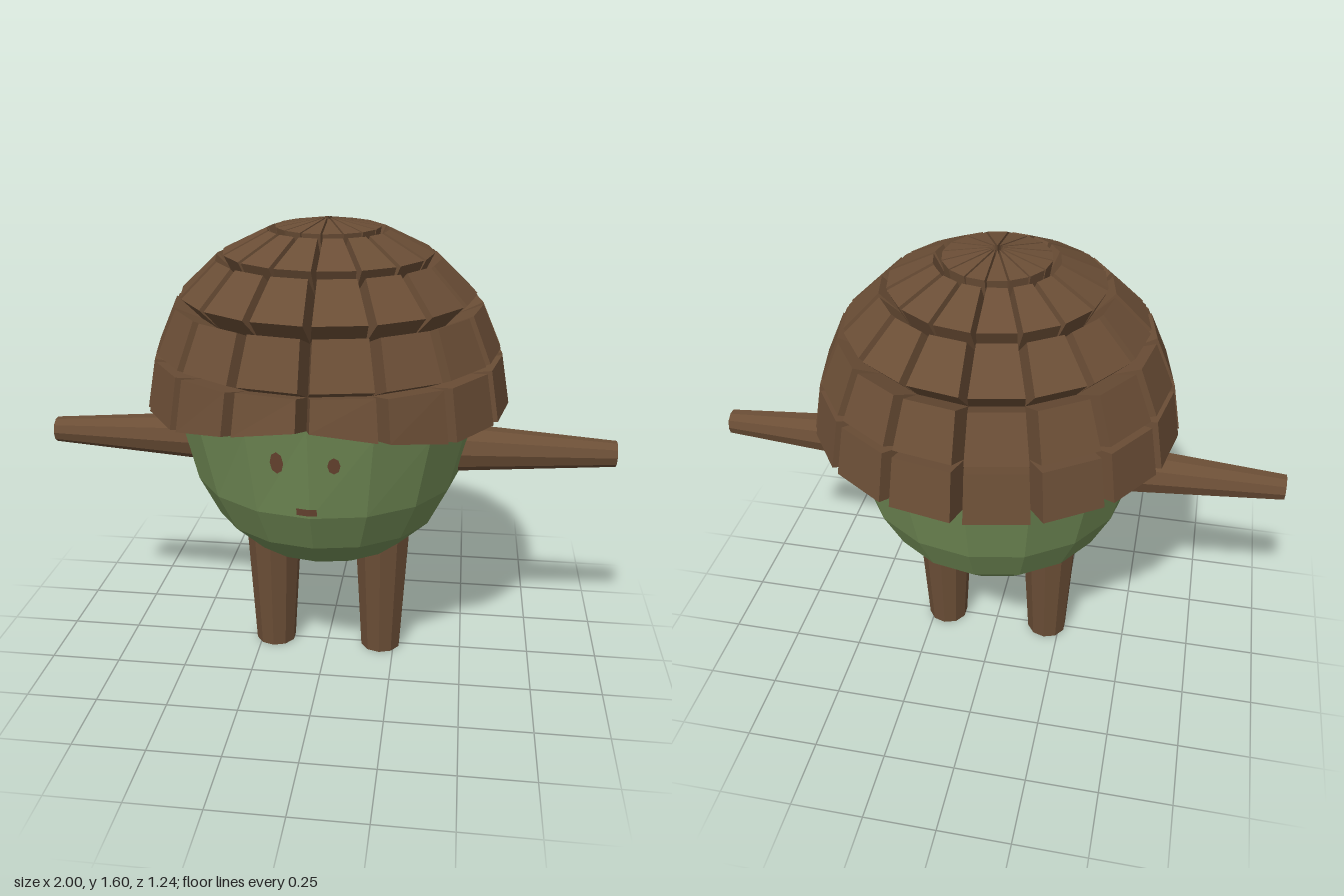
import * as THREE from 'three';

const SIDES = 16;
const STEP = (Math.PI * 2) / SIDES;
const THICK = 0.1;

// Rings as [radius, height]
const bodyRings = [[0, 0.385], [0.15, 0.41], [0.285, 0.475], [0.395, 0.58], [0.465, 0.72], [0.525, 0.97]];
const capRings = [[0.525, 0.97], [0.495, 1.137], [0.43, 1.285], [0.31, 1.4], [0.16, 1.473], [0, 1.5]];

// The cap's rim is raised over the face
function rimLift(i) {
  const fromFront = Math.min(i % SIDES, SIDES - (i % SIDES));
  return Math.max(0, 0.07 - 0.035 * fromFront);
}

function ringPoint([r, y], i, isRim) {
  const a = i * STEP;
  return new THREE.Vector3(r * Math.sin(a), y + (isRim ? rimLift(i) : 0), r * Math.cos(a));
}

// Flat-faced geometry from a list of quads
function quadGeometry(quads) {
  const pos = [];
  for (const [a, b, c, d] of quads) {
    for (const tri of [[a, b, c], [a, c, d]]) {
      const [p, q, r] = tri;
      if (p.distanceTo(q) < 1e-6 || q.distanceTo(r) < 1e-6 || r.distanceTo(p) < 1e-6) continue;
      for (const v of tri) pos.push(v.x, v.y, v.z);
    }
  }
  const g = new THREE.BufferGeometry();
  g.setAttribute('position', new THREE.Float32BufferAttribute(pos, 3));
  g.computeVertexNormals();
  return g;
}

// Corners of one facet between two rings, counter-clockwise from outside
function facet(rings, row, i) {
  const lowRim = rings === capRings && row === 0;
  const highRim = rings === bodyRings && row === rings.length - 2;
  return [
    ringPoint(rings[row], i, lowRim), ringPoint(rings[row], i + 1, lowRim),
    ringPoint(rings[row + 1], i + 1, highRim), ringPoint(rings[row + 1], i, highRim),
  ];
}

// Depth of the front of the body at x, y
function faceDepth(x, y) {
  let r = 0.5;
  let t = 0;
  for (let k = 0; k < 4; k++) {
    t = Math.abs(x) / (Math.sin(STEP) * r);
    r = 0.465 + (0.06 * (y - 0.72)) / (0.32 - 0.035 * t);
  }
  return r * (1 - t * (1 - Math.cos(STEP)));
}

export function createModel() {
  const model = new THREE.Group();
  const mat = (name, color) => {
    const m = new THREE.MeshStandardMaterial({ color, flatShading: true });
    m.name = name;
    return m;
  };
  const green = mat('green', 0x728c56);
  const bark = mat('bark brown', 0x6b4e36);
  const faceBrown = mat('face brown', 0x6b4632);

  const add = (name, geometry, material, parent = model) => {
    const mesh = new THREE.Mesh(geometry, material);
    mesh.name = name;
    parent.add(mesh);
    return mesh;
  };

  // Round body
  const bodyQuads = [];
  for (let row = 0; row < bodyRings.length - 1; row++) {
    for (let i = 0; i < SIDES; i++) bodyQuads.push(facet(bodyRings, row, i));
  }
  add('body', quadGeometry(bodyQuads), green);

  // Cap of separate scales, each pushed straight out from its facet
  const cap = new THREE.Group();
  cap.name = 'cap';
  model.add(cap);
  const undersides = [];
  for (let row = 0; row < capRings.length - 1; row++) {
    const quads = [];
    for (let i = 0; i < SIDES; i++) {
      const inner = facet(capRings, row, i);
      const [a, b, c, d] = inner;
      const normal = c.clone().sub(a).cross(d.clone().sub(b)).normalize();
      const [A, B, C, D] = inner.map((p) => p.clone().addScaledVector(normal, THICK));
      quads.push([A, B, C, D], [b, c, C, B], [d, a, A, D]);
      if (row < capRings.length - 2) quads.push([c, d, D, C]);
      // The four rear rim scales are green underneath
      const rear = row === 0 && i >= 6 && i <= 9;
      (rear ? undersides : quads).push([a, b, B, A]);
    }
    add('scaleRow' + (row + 1), quadGeometry(quads), bark, cap);
  }
  add('rearScaleUndersides', quadGeometry(undersides), green, cap);

  // Tapered arms and legs
  for (const [side, s] of [['left', 1], ['right', -1]]) {
    const arm = add(side + 'Arm', new THREE.CylinderGeometry(0.045, 0.088, 0.6, 10), bark);
    arm.rotation.z = -s * Math.PI / 2;
    arm.position.set(s * 0.7, 0.81, 0);
    const leg = add(side + 'Leg', new THREE.CylinderGeometry(0.106, 0.074, 0.55, 10), bark);
    leg.position.set(s * 0.2, 0.275, 0);
  }

  // Eyes and mouth laid onto the body
  const patch = (name, geometry, x, y) => {
    const p = geometry.attributes.position;
    for (let i = 0; i < p.count; i++) {
      const px = p.getX(i) + x;
      const py = p.getY(i) + y;
      p.setXYZ(i, px, py, faceDepth(px, py) + 0.007);
    }
    geometry.computeVertexNormals();
    add(name, geometry, faceBrown);
  };
  patch('rightEye', new THREE.CircleGeometry(1, 8).scale(0.022, 0.039, 1), -0.1, 0.918);
  patch('leftEye', new THREE.CircleGeometry(1, 8).scale(0.02, 0.029, 1), 0.08, 0.917);
  patch('mouth', new THREE.PlaneGeometry(0.066, 0.025, 6, 1), -0.01, 0.745);

  return model;
}
